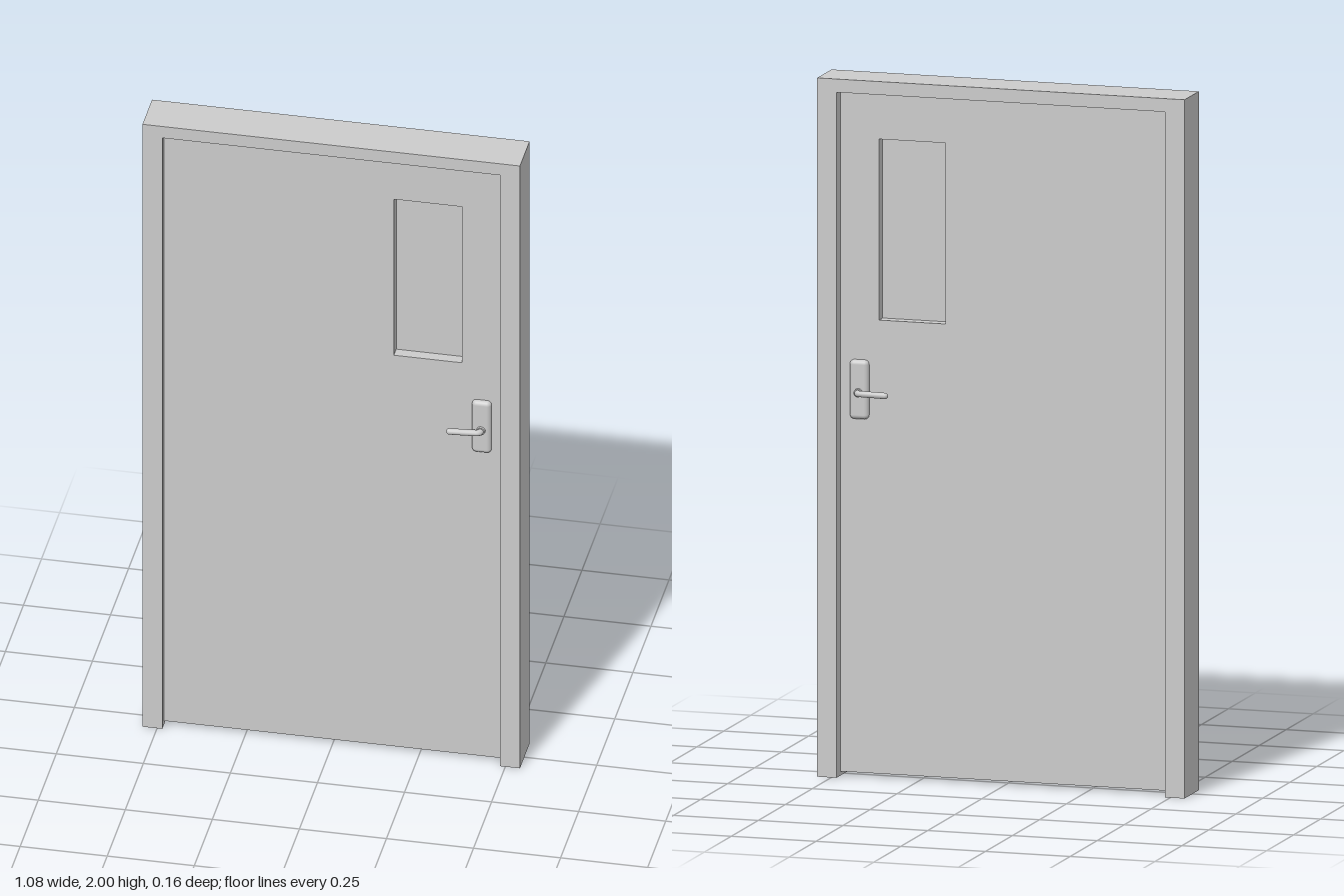
import * as THREE from 'three';
import { RoundedBoxGeometry } from 'three/addons/geometries/RoundedBoxGeometry.js';

const material = new THREE.MeshStandardMaterial({ color: 0xcccccc });

function named(name, geometry) {
  const mesh = new THREE.Mesh(geometry, material);
  mesh.name = name;
  return mesh;
}

function rectPath(path, x0, y0, x1, y1) {
  path.moveTo(x0, y0);
  path.lineTo(x1, y0);
  path.lineTo(x1, y1);
  path.lineTo(x0, y1);
  path.closePath();
  return path;
}

// Backplate, collar and lever; built facing +z with the lever pointing along side * x
function createHandle(name, side) {
  const handle = new THREE.Group();
  handle.name = name;

  // Pillow-edged plate, half sunk into the leaf
  const plate = named('backplate', new RoundedBoxGeometry(0.056, 0.17, 0.028, 4, 0.013));
  plate.position.y = 0.008;
  handle.add(plate);

  const collar = named('collar', new THREE.CylinderGeometry(0.012, 0.013, 0.01, 20));
  collar.rotation.x = Math.PI / 2;
  collar.position.z = 0.016;
  handle.add(collar);

  const r = 0.009;
  const path = new THREE.CurvePath();
  const v = (x, z) => new THREE.Vector3(side * x, 0, z);
  path.add(new THREE.LineCurve3(v(0, 0.008), v(0, 0.019)));
  path.add(new THREE.QuadraticBezierCurve3(v(0, 0.019), v(0, 0.029), v(0.013, 0.03)));
  path.add(new THREE.LineCurve3(v(0.013, 0.03), v(0.086, 0.0365)));
  handle.add(named('lever', new THREE.TubeGeometry(path, 40, r, 12)));

  const tip = named('leverTip', new THREE.SphereGeometry(r, 12, 8));
  tip.position.copy(v(0.086, 0.0365));
  handle.add(tip);
  return handle;
}

export function createModel() {
  const door = new THREE.Group();
  door.name = 'door';

  // Frame: two jambs and a head, open at the floor
  const outline = new THREE.Shape([
    [-0.542, 0], [-0.485, 0], [-0.485, 1.962], [0.485, 1.962],
    [0.485, 0], [0.542, 0], [0.542, 2], [-0.542, 2],
  ].map(([x, y]) => new THREE.Vector2(x, y)));
  const frame = named('frame', new THREE.ExtrudeGeometry(outline, { depth: 0.133, bevelEnabled: false }));
  frame.position.z = -0.073;
  door.add(frame);

  // Leaf with the window opening cut through
  const half = 0.036;
  const win = { x0: 0.175, y0: 1.31, x1: 0.371, y1: 1.828 };
  const leafShape = rectPath(new THREE.Shape(), -0.4845, 0.012, 0.4845, 1.96);
  leafShape.holes.push(rectPath(new THREE.Path(), win.x0, win.y0, win.x1, win.y1));
  const leaf = named('leaf', new THREE.ExtrudeGeometry(leafShape, { depth: half * 2, bevelEnabled: false }));
  leaf.position.z = -half;
  door.add(leaf);

  // Window pane, recessed equally from both faces
  const pane = named('windowPane', new THREE.BoxGeometry(win.x1 - win.x0, win.y1 - win.y0, 0.006));
  pane.position.set((win.x0 + win.x1) / 2, (win.y0 + win.y1) / 2, 0);
  door.add(pane);

  // Handles on both faces, levers pointing to the hinge side
  const front = createHandle('frontHandle', -1);
  front.position.set(0.428, 1.101, half);
  const back = createHandle('backHandle', 1);
  back.rotation.y = Math.PI;
  back.position.set(0.428, 1.101, -half);
  door.add(front, back);

  return door;
}
